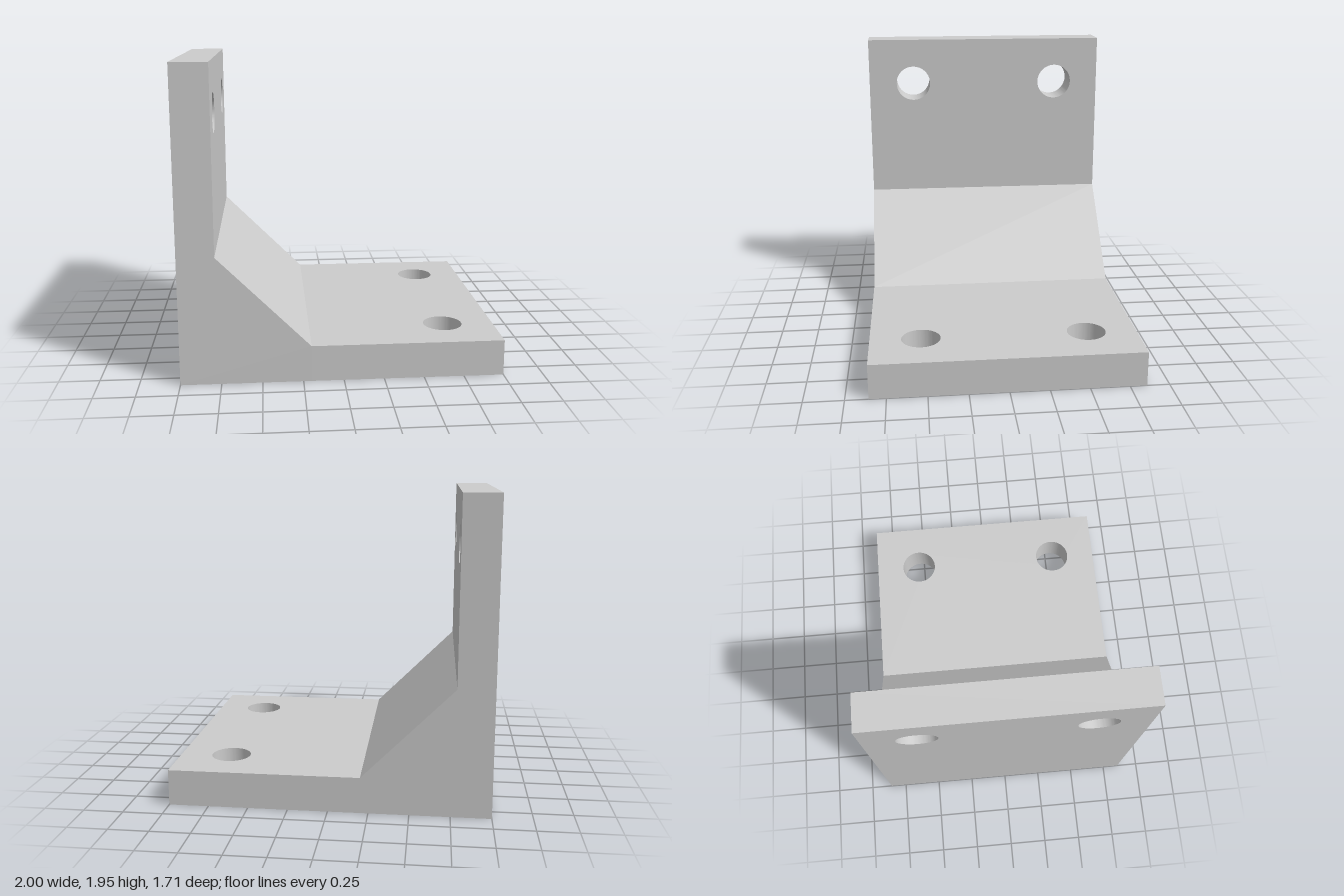
import * as THREE from 'three';
import { toCreasedNormals } from 'three/addons/utils/BufferGeometryUtils.js';

const H = 1.945;        // overall height
const D = 0.857;        // half depth
const T = 0.227;        // plate thickness
const GX = -0.2;        // where the gusset meets the base
const GY = 0.8;         // where the gusset meets the wall
const HOLE_R = 0.125;
const HOLE_Z = 0.532;

function polygon(points) {
  return new THREE.Shape(points.map(([x, y]) => new THREE.Vector2(x, y)));
}

function drill(shape, x, y) {
  const hole = new THREE.Path();
  hole.absarc(x, y, HOLE_R, 0, Math.PI * 2, true);
  shape.holes.push(hole);
}

function extrude(shape, depth) {
  const geometry = new THREE.ExtrudeGeometry(shape, { depth, bevelEnabled: false, curveSegments: 48 });
  return toCreasedNormals(geometry, 0.5);
}

export function createModel() {
  const group = new THREE.Group();
  group.name = 'angleBracket';
  const material = new THREE.MeshStandardMaterial({ color: 0xcccccc });

  const add = (name, geometry) => {
    const mesh = new THREE.Mesh(geometry, material);
    mesh.name = name;
    group.add(mesh);
  };

  // Corner block with the sloped gusset face
  const corner = polygon([[-1, 0], [GX, 0], [GX, T], [-1 + T, GY], [-1, GY]]);
  add('cornerGusset', extrude(corner, 2 * D).translate(0, 0, -D));

  // Base plate with two vertical bolt holes
  const base = polygon([[GX, -D], [1, -D], [1, D], [GX, D]]);
  for (const side of [-1, 1]) drill(base, 0.673, side * HOLE_Z);
  add('basePlate', extrude(base, T).rotateX(-Math.PI / 2));

  // Upright plate with two horizontal bolt holes
  const wall = polygon([[-D, GY], [D, GY], [D, H], [-D, H]]);
  for (const side of [-1, 1]) drill(wall, side * HOLE_Z, 1.622);
  add('uprightPlate', extrude(wall, T).rotateY(Math.PI / 2).translate(-1, 0, 0));

  return group;
}
